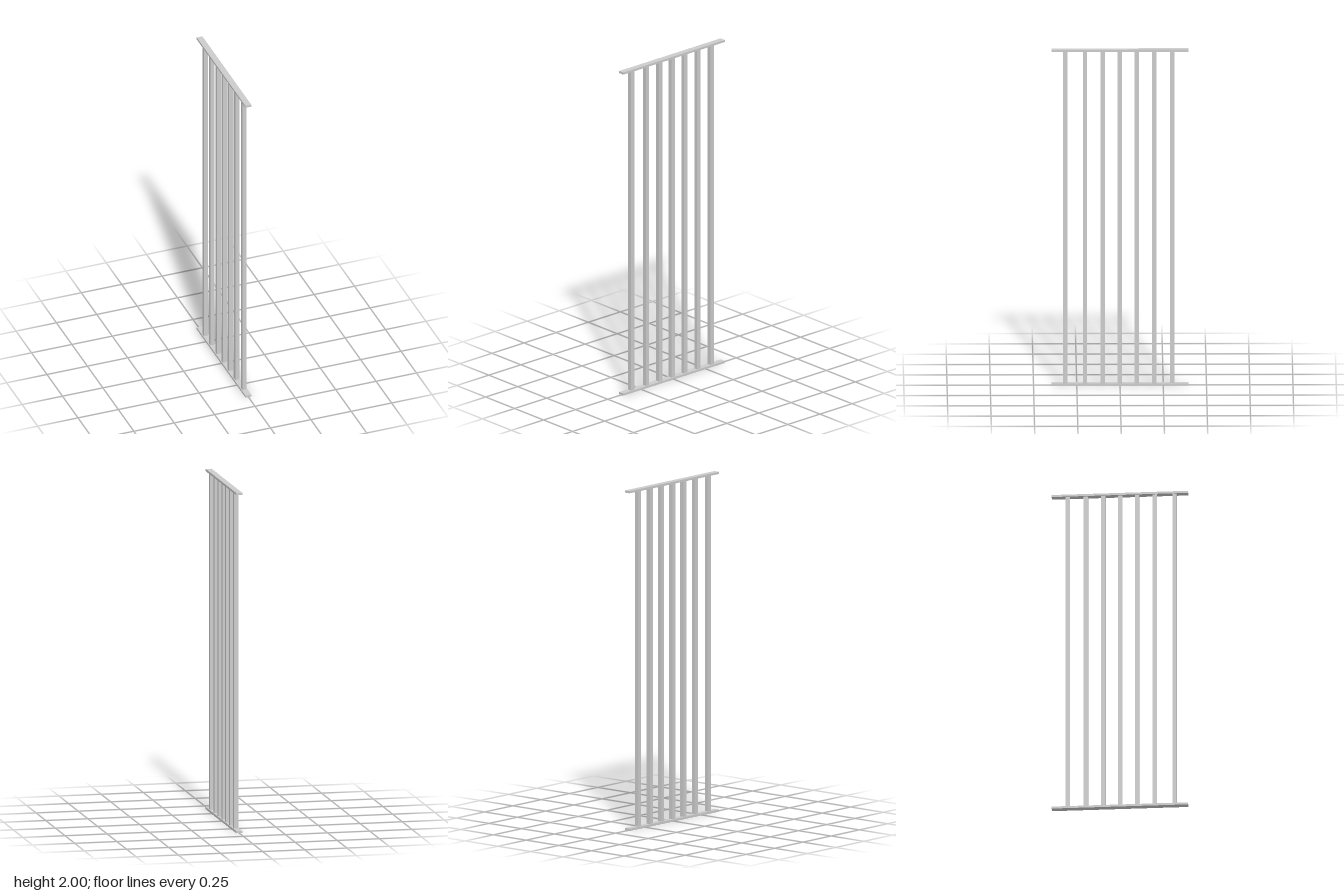
import * as THREE from 'three';

const HEIGHT = 2;
const RAIL = { width: 0.036, thickness: 0.013, length: 0.79 };
const BAR_SIZE = 0.025;
const BAR_Z = [0.317, 0.202, 0.099, 0.002, -0.096, -0.197, -0.302];

export function createModel() {
  const group = new THREE.Group();
  group.name = 'barredPanel';
  const material = new THREE.MeshStandardMaterial({ color: 0xcccccc });

  const addBox = (name, size, y, z) => {
    const mesh = new THREE.Mesh(new THREE.BoxGeometry(...size), material);
    mesh.name = name;
    mesh.position.set(0, y, z);
    group.add(mesh);
  };

  // Flat rails along the bottom and top
  const railSize = [RAIL.width, RAIL.thickness, RAIL.length];
  addBox('bottomRail', railSize, RAIL.thickness / 2, 0);
  addBox('topRail', railSize, HEIGHT - RAIL.thickness / 2, 0);

  // Square upright bars between the rails
  const barSize = [BAR_SIZE, HEIGHT - 2 * RAIL.thickness, BAR_SIZE];
  BAR_Z.forEach((z, i) => addBox(`bar${i + 1}`, barSize, HEIGHT / 2, z));

  return group;
}
